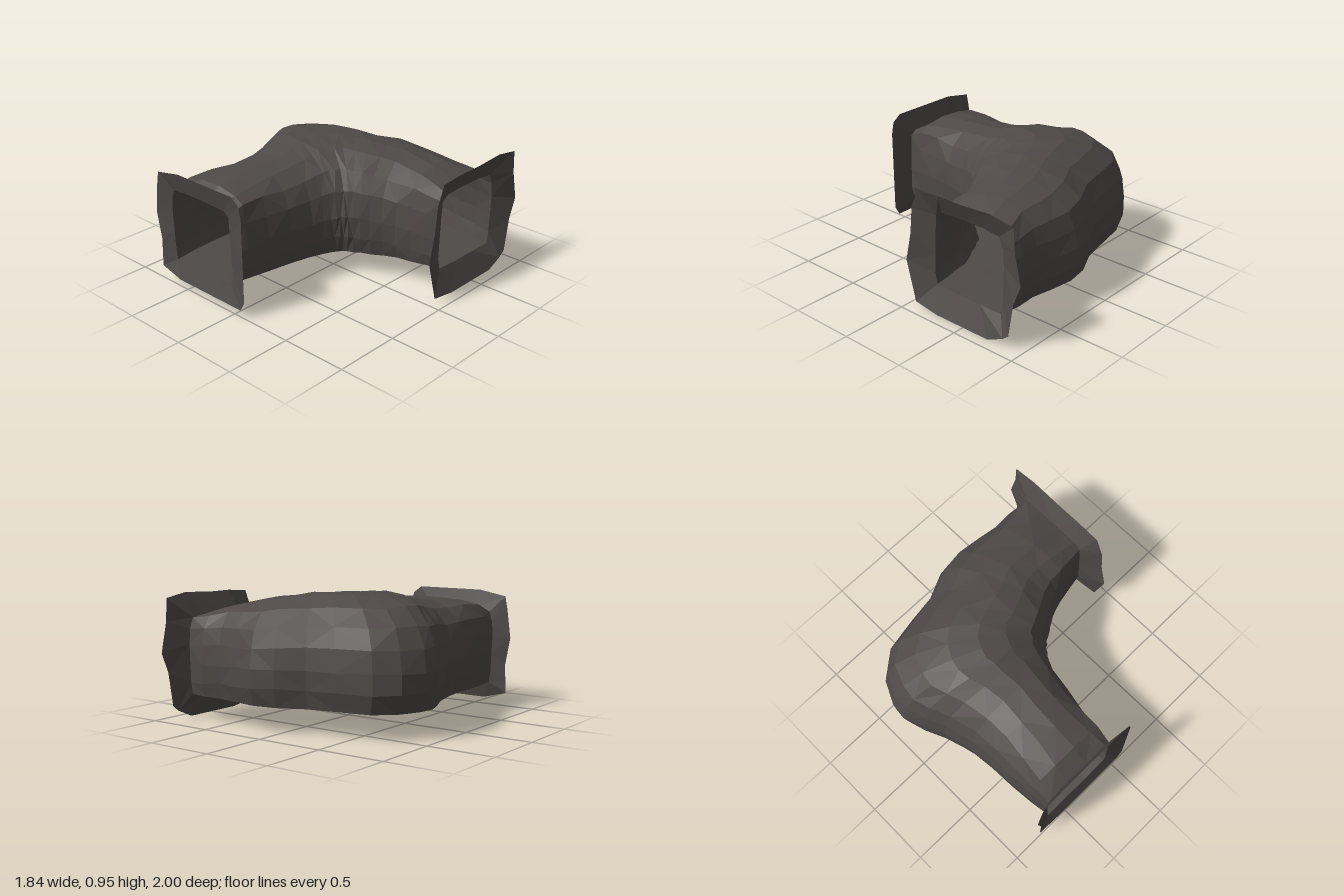
import * as THREE from 'three';

// Cross-sections as [across, height] fractions: outer wall up, over the roof, inner wall down, floor back.
const MOUTH = [[.06, 0], [.04, .15], [.03, .4], [.02, .65], [.03, .85], [.07, .98], [.3, 1], [.6, 1],
  [.9, .99], [.97, .93], [.98, .7], [.99, .4], [1, .15], [.97, .02], [.65, 0], [.35, 0]];
const DOME = [[.05, 0], [.01, .18], [0, .36], [.03, .56], [.09, .74], [.22, .9], [.4, .98], [.58, 1],
  [.75, .95], [.9, .83], [.97, .65], [1, .4], [.98, .18], [.94, 0], [.65, 0], [.35, 0]];
const FLOOR = 0.18;

// Stations round the bend: outer x, z, inner x, z, roof height, dome amount
const STATIONS = [
  [-.68, .96, -.05, .96, .74, 0],
  [-.70, .83, -.02, .84, .82, .4],
  [-.715, .64, .01, .66, .85, .7],
  [-.72, .45, .04, .48, .86, .9],
  [-.74, .26, .08, .30, .885, 1],
  [-.80, .05, .11, .22, .91, 1],
  [-.87, -.10, .135, .17, .93, 1],
  [-.92, -.24, .16, .14, .94, 1],
  [-.91, -.37, .18, .115, .945, 1],
  [-.83, -.54, .20, .095, .945, 1],
  [-.68, -.66, .22, .08, .945, 1],
  [-.42, -.72, .25, .06, .94, 1],
  [-.20, -.755, .29, .035, .93, 1],
  [0, -.85, .35, 0, .91, 1],
  [.18, -.89, .42, -.045, .89, 1],
  [.36, -.86, .51, -.09, .865, .9],
  [.53, -.83, .62, -.12, .84, .75],
  [.69, -.84, .73, -.145, .80, .5],
  [.84, -.81, .84, -.18, .755, .1],
];

// Ragged rims, point for point with the cross-section: [x, y] at the front and [z, y] at the side
const FRONT_RIM = [[-.77, .1], [-.765, .2], [-.76, .32], [-.8, .53], [-.77, .75], [-.75, .85], [-.53, .89],
  [-.25, .89], [.01, .89], [.08, .84], [.1, .75], [.1, .4], [.1, .12], [.06, .05], [-.25, .05], [-.58, .05]];
const SIDE_RIM = [[-.85, .06], [-.9, .1], [-.94, .35], [-1, .5], [-.95, .72], [-.94, .89], [-.75, .92],
  [-.5, .905], [-.3, .905], [-.11, .89], [-.05, .75], [-.03, .55], [.02, .33], [-.06, .03], [-.26, 0], [-.72, 0]];

let seed = 11;
const wobble = (amount) => {
  seed = (seed * 16807) % 2147483647;
  return (seed / 2147483647 - 0.5) * amount;
};

function ringAt([ox, oz, ix, iz, top, dome], k) {
  const isMouth = k === 0 || k === STATIONS.length - 1;
  return MOUTH.map(([s0, h0], j) => {
    const rough = isMouth ? 0 : 0.016;
    const s = THREE.MathUtils.lerp(s0, DOME[j][0], dome) + wobble(rough);
    const h = THREE.MathUtils.lerp(h0, DOME[j][1], dome);
    const lift = h > 0.05 ? wobble(rough) : 0;
    return [ox + (ix - ox) * s, FLOOR + (top - FLOOR) * h + lift, oz + (iz - oz) * s];
  });
}

// Skins a row of closed rings with faceted quads
function skin(rings, name, material) {
  const n = MOUTH.length;
  const index = [];
  for (let i = 0; i < rings.length - 1; i++) {
    for (let j = 0; j < n; j++) {
      const a = i * n + j, b = i * n + (j + 1) % n, c = b + n, d = a + n;
      if ((i + j) % 2) index.push(a, b, c, a, c, d);
      else index.push(a, b, d, b, c, d);
    }
  }
  let geometry = new THREE.BufferGeometry();
  geometry.setAttribute('position', new THREE.Float32BufferAttribute(rings.flat(2), 3));
  geometry.setIndex(index);
  geometry = geometry.toNonIndexed();
  geometry.computeVertexNormals();
  const mesh = new THREE.Mesh(geometry, material);
  mesh.name = name;
  return mesh;
}

export function createModel() {
  const rock = new THREE.MeshStandardMaterial({ color: 0x4f4a48 });
  rock.name = 'dark rock';
  rock.side = THREE.DoubleSide;
  rock.flatShading = true;

  const group = new THREE.Group();
  group.name = 'tunnelBend';

  // Hollow bent passage
  const rings = STATIONS.map(ringAt);
  group.add(skin(rings, 'tunnel', rock));

  // Flared collars round both open mouths
  const frontRim = FRONT_RIM.map(([x, y]) => [x, y, 1]);
  const sideRim = SIDE_RIM.map(([z, y]) => [0.915, y, z]);
  group.add(skin([frontRim, rings[0]], 'frontCollar', rock));
  group.add(skin([rings[rings.length - 1], sideRim], 'sideCollar', rock));
  return group;
}
